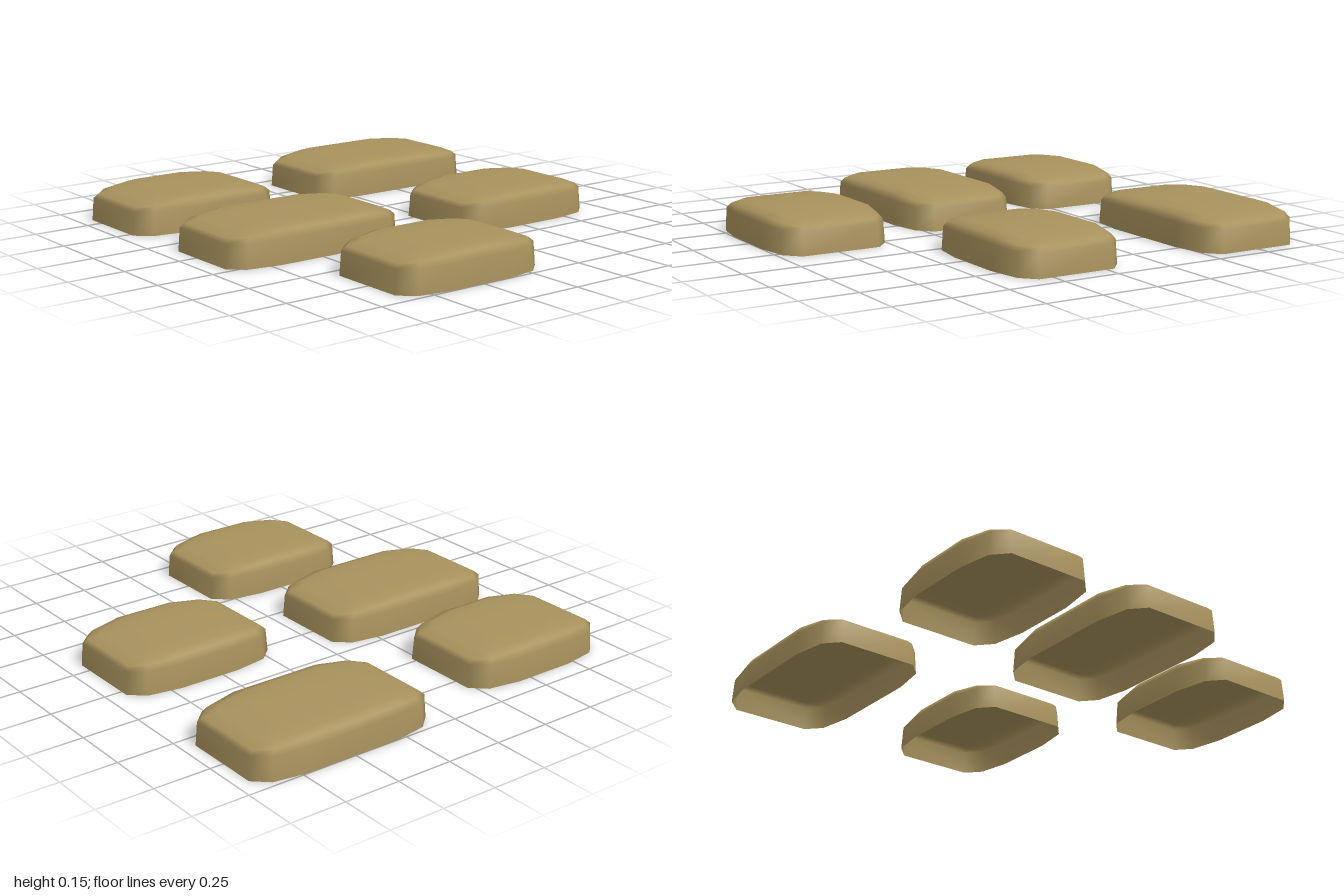
import * as THREE from 'three';

const tan = new THREE.MeshStandardMaterial({ color: 0xa8925d, side: THREE.DoubleSide });
tan.name = 'sand tan';

const HALF_WIDTH = 0.26;

// Cross-sections from the ground up: [side inset, end inset, side height, end height]
const RINGS = [
  [0, 0, 0, 0],
  [0.005, 0.007, 0.106, 0.1],
  [0.02, 0.025, 0.136, 0.117],
  [0.06, 0.07, 0.149, 0.137],
  [0.13, 0.2, 0.151, 0.149],
];

// Chamfered, slightly bulging outline, one quarter: [x, distance from end, end weight]
const QUARTER = [
  [0.175, 0, 1],
  [0.235, 0.065, 0.7],
  [0.26, 0.215, 0],
];

// Open-bottomed shell with a softly rounded top
function padGeometry(length) {
  const hz = length / 2;
  const front = QUARTER.map(([x, d, w]) => [x, hz - d, w]);
  const right = [...front, ...front.map(([x, z, w]) => [x, -z, w]).reverse()];
  const outline = [...right, ...right.map(([x, z, w]) => [-x, -z, w])];
  const n = outline.length;
  const positions = [];
  const index = [];

  for (const [insetX, insetZ, ySide, yEnd] of RINGS) {
    for (const [x, z, w] of outline) {
      positions.push(
        x * (1 - insetX / HALF_WIDTH),
        THREE.MathUtils.lerp(ySide, yEnd, w),
        z * (1 - insetZ / hz)
      );
    }
  }
  for (let r = 0; r < RINGS.length - 1; r++) {
    for (let j = 0; j < n; j++) {
      const a = r * n + j;
      const b = r * n + (j + 1) % n;
      index.push(a, b, b + n, a, b + n, a + n);
    }
  }
  // Flat middle of the top
  const centre = positions.length / 3;
  const last = (RINGS.length - 1) * n;
  positions.push(0, 0.152, 0);
  for (let j = 0; j < n; j++) index.push(last + j, last + (j + 1) % n, centre);

  const geometry = new THREE.BufferGeometry();
  geometry.setAttribute('position', new THREE.Float32BufferAttribute(positions, 3));
  geometry.setIndex(index);
  geometry.computeVertexNormals();
  return geometry;
}

export function createModel() {
  const group = new THREE.Group();
  group.name = 'steppingPads';
  const longPad = padGeometry(0.86);
  const shortPad = padGeometry(0.71);

  // Staggered layout: name, geometry, x, z
  const layout = [
    ['backRightLongPad', longPad, -0.74, -0.51],
    ['backShortPad', shortPad, 0.14, -0.565],
    ['leftShortPad', shortPad, 0.74, 0.265],
    ['frontRightShortPad', shortPad, -0.65, 0.58],
    ['frontLongPad', longPad, 0.04, 0.49],
  ];
  for (const [name, geometry, x, z] of layout) {
    const pad = new THREE.Mesh(geometry, tan);
    pad.name = name;
    pad.position.set(x, 0, z);
    group.add(pad);
  }
  return group;
}
